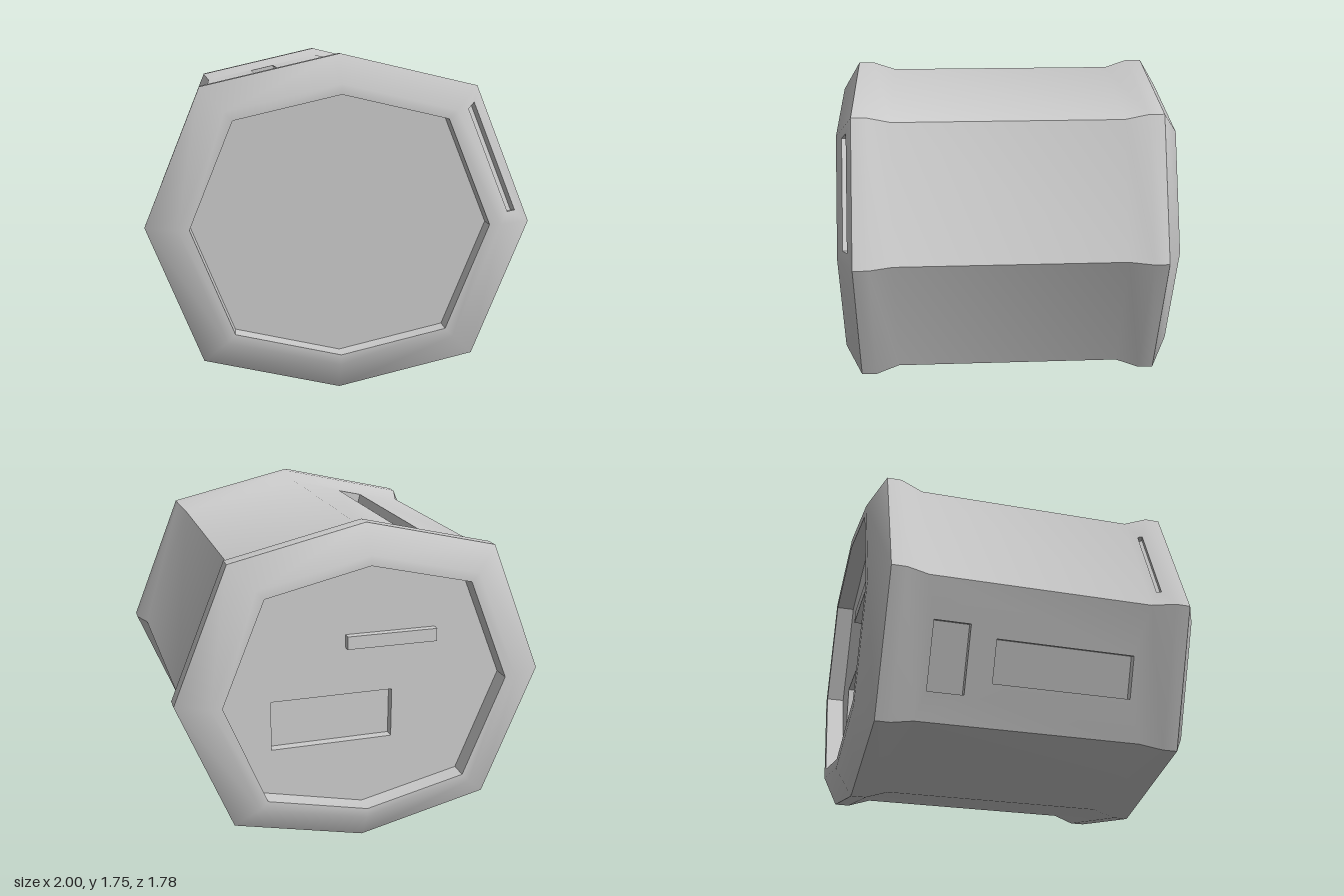
import * as THREE from 'three';
import { mergeGeometries, toCreasedNormals } from 'three/addons/utils/BufferGeometryUtils.js';

const MID = 0.877;
const OCTAGON = [[1, 0], [0.71, 0.713], [0, 0.877], [-0.71, 0.713],
  [-1, 0], [-0.71, -0.713], [0, -0.877], [0.71, -0.713]];

// [z, scale] of the octagonal sections, from the back recess to the front recess
const RINGS = [[-0.79, 0.77], [-0.89, 0.77], [-0.89, 0.83], [-0.8, 1], [-0.72, 1], [-0.6, 0.955],
  [0.6, 0.955], [0.72, 1], [0.8, 1], [0.89, 0.83], [0.89, 0.77], [0.79, 0.77]];

// Pockets by "band,side": [u0, u1, v0, v1, depth], u around the section, v along the band
const POCKETS = {
  '5,2': [[0.4, 0.6, 0.067, 0.925, 0.05]],
  '5,4': [[0.3, 0.79, 0.04, 0.2, 0.04], [0.38, 0.69, 0.317, 0.94, 0.04]],
  '6,3': [[0.2, 0.86, 0.375, 0.58, 0.03]],
  '8,0': [[0.096, 0.934, 0.33, 0.61, 0.03]],
};

const rect = ([u0, u1, v0, v1]) => [[u0, v0], [u1, v0], [u1, v1], [u0, v1]];
const toPoints = (list) => list.map(([x, y]) => new THREE.Vector2(x, y));

function quad(a, b, c, d) {
  return new THREE.BufferGeometry().setFromPoints([a, b, c, a, c, d]);
}

// A flat panel with sunken rectangular pockets; map turns (u, v) into a point in space
function panel(outline, pockets, map) {
  const shape = new THREE.Shape(toPoints(outline));
  pockets.forEach((p) => shape.holes.push(new THREE.Path(toPoints(rect(p)))));
  const face = new THREE.ShapeGeometry(shape).toNonIndexed();
  face.deleteAttribute('uv');
  face.deleteAttribute('normal');
  const pos = face.attributes.position;
  for (let i = 0; i < pos.count; i++) {
    const q = map(pos.getX(i), pos.getY(i));
    pos.setXYZ(i, q.x, q.y, q.z);
  }
  const parts = [face];
  for (const p of pockets) {
    const top = rect(p).map(([u, v]) => map(u, v));
    const inward = top[3].clone().sub(top[0])
      .cross(top[1].clone().sub(top[0])).setLength(p[4]);
    const low = top.map((q) => q.clone().add(inward));
    for (let i = 0; i < 4; i++) {
      const j = (i + 1) % 4;
      parts.push(quad(top[i], top[j], low[j], low[i]));
    }
    parts.push(quad(...low));
  }
  return parts;
}

function ringPoint(ring, side) {
  const [z, s] = RINGS[ring];
  const [x, y] = OCTAGON[side % 8];
  return new THREE.Vector3(x * s, MID + y * s, z);
}

// The eight facets between each pair of neighbouring sections
function bands(first, last) {
  const parts = [];
  for (let b = first; b <= last; b++) {
    for (let k = 0; k < 8; k++) {
      const map = (u, v) => ringPoint(b, k).lerp(ringPoint(b, k + 1), u)
        .lerp(ringPoint(b + 1, k).lerp(ringPoint(b + 1, k + 1), u), v);
      parts.push(...panel(rect([0, 1, 0, 1]), POCKETS[`${b},${k}`] || [], map));
    }
  }
  return parts;
}

export function createModel() {
  const group = new THREE.Group();
  const material = new THREE.MeshStandardMaterial({ color: 0xcccccc });
  const add = (name, geometry) => {
    const mesh = new THREE.Mesh(geometry, material);
    mesh.name = name;
    group.add(mesh);
    return mesh;
  };
  const smooth = (parts) => toCreasedNormals(mergeGeometries(parts), THREE.MathUtils.degToRad(40));

  // Octagonal shell with flared ends
  add('barrel', smooth(bands(3, 7)));
  add('backRim', smooth(bands(0, 2)));
  add('frontRim', smooth(bands(8, 10)));

  // Recessed end panels
  const end = OCTAGON.map(([x, y]) => [x * 0.77, MID + y * 0.77]);
  add('frontPanel', smooth(panel(end, [], (u, v) => new THREE.Vector3(u, v, 0.79))));
  add('backPanel', smooth(panel(end, [[-0.5, 0.16, 0.57, 0.84, 0.05]],
    (u, v) => new THREE.Vector3(-u, v, -0.79))));

  // Raised bar on the back panel
  add('backBar', new THREE.BoxGeometry(0.49, 0.07, 0.06)).position.set(-0.145, 1.135, -0.8);

  return group;
}
